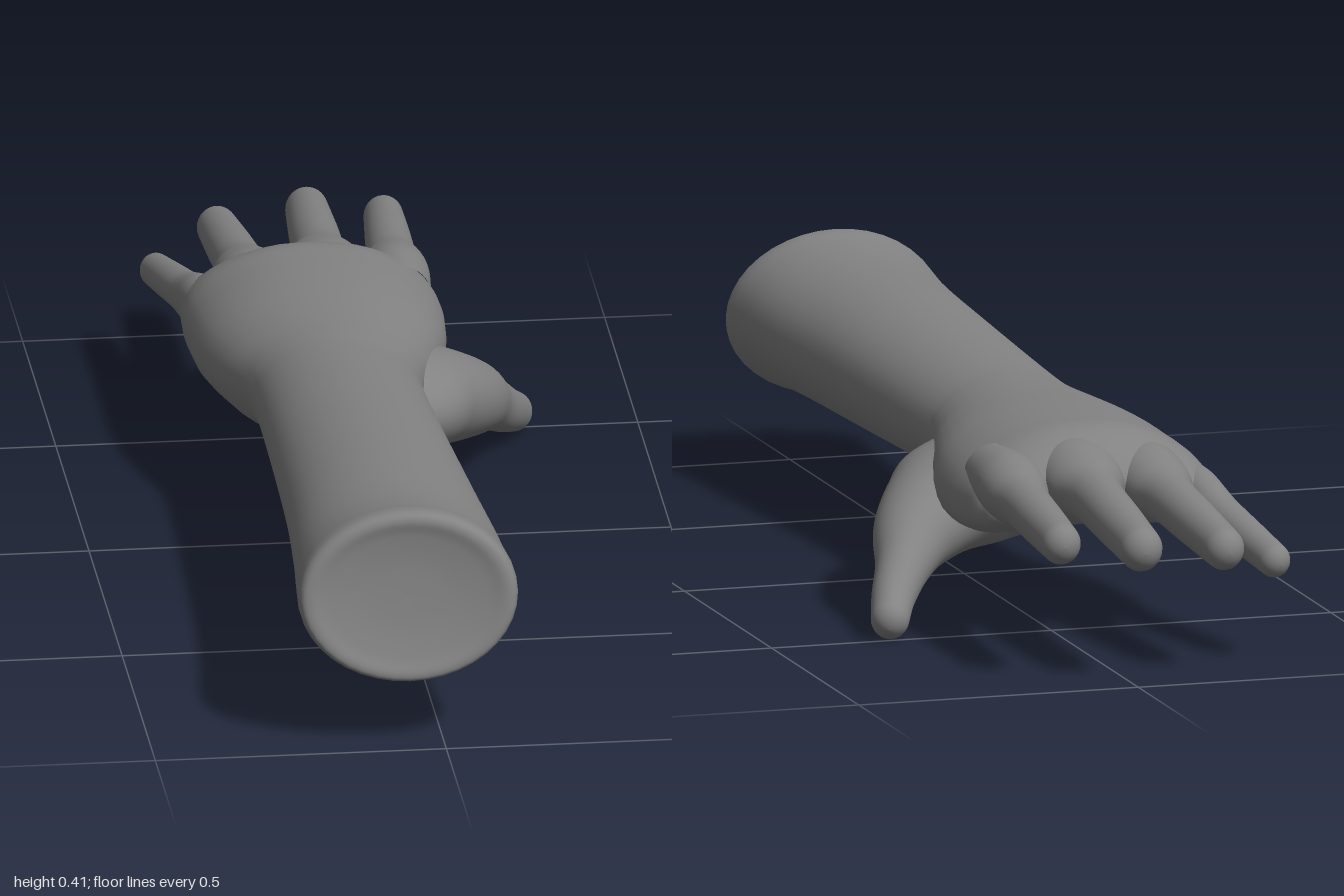
import * as THREE from 'three';

const SIDES = 40, STEPS = 7;
const smooth = THREE.MathUtils.smoothstep;

// Smooth skin through cross-sections [x, y, z, radiusAcross, radiusUp] that follow their path
function skin(sections, { direction, roundTip, outline }) {
  const spline = new THREE.CubicInterpolant(sections.map((_, i) => i), sections.flat(), 5);
  const rings = [];
  for (let i = 0; i <= (sections.length - 1) * STEPS; i++) rings.push([...spline.evaluate(i / STEPS)]);

  const centre = r => new THREE.Vector3(r[0], r[1], r[2]);
  const tangents = rings.map((_, i) => direction ?? centre(rings[Math.min(i + 1, rings.length - 1)])
    .sub(centre(rings[Math.max(i - 1, 0)])).normalize());

  // Hemispherical fingertip
  if (roundTip) {
    const last = rings[rings.length - 1], t = tangents[tangents.length - 1];
    for (let k = 1; k <= 8; k++) {
      const a = k / 8 * Math.PI / 2, f = Math.max(Math.cos(a), 0);
      const c = centre(last).addScaledVector(t, last[3] * Math.sin(a));
      rings.push([c.x, c.y, c.z, last[3] * f, last[4] * f]);
      tangents.push(t);
    }
  }

  const positions = [], index = [], Y = new THREE.Vector3(0, 1, 0);
  rings.forEach((r, i) => {
    const right = new THREE.Vector3().crossVectors(tangents[i], Y).normalize();
    const up = new THREE.Vector3().crossVectors(right, tangents[i]);
    for (let j = 0; j < SIDES; j++) {
      const a = j / SIDES * Math.PI * 2;
      const [u, v, back] = outline(Math.cos(a), Math.sin(a), r);
      const p = centre(r).addScaledVector(right, u).addScaledVector(up, v);
      positions.push(p.x, p.y, p.z - back);
      if (i < rings.length - 1) {
        const k = (j + 1) % SIDES, b = i * SIDES, c = b + SIDES;
        index.push(b + j, c + j, b + k, b + k, c + j, c + k);
      }
    }
  });
  const geometry = new THREE.BufferGeometry();
  geometry.setAttribute('position', new THREE.Float32BufferAttribute(positions, 3));
  geometry.setIndex(index);
  geometry.computeVertexNormals();
  return geometry;
}

// Plain ellipse for the digits
const ellipse = (c, s, [, , , rx, ry]) => [rx * c, ry * s, 0];

// Arm outline: squarer and arched towards the knuckles, cut at a slant at the open end
function armOutline(c, s, [, , z, rx, ry]) {
  const hand = smooth(-z, 0.1, 0.5);
  const power = v => Math.sign(v) * Math.abs(v) ** (2 / (2 + 0.4 * hand));
  const u = rx * power(c);
  const hollow = s < 0 ? 1 - 0.1 * hand * s ** 4 : 1;
  const v = ry * power(s) * hollow - 0.8 * hand * u * u;
  return [u, v, 0.17 * smooth(z, 0.8, 0.95) * v];
}

// Finger: wide root between the webs, then a gentle taper. Each step: [along, across, up]
function finger([x0, y0, x1, y1, z1, rootRadius, tipRadius]) {
  const lerp = THREE.MathUtils.lerp;
  const root = [[-0.5, 1, 1.5], [-0.2, 1.07, 1.72], [0, 1, 1.53]];
  const shaft = [[0.2, 1.28, 1.27], [0.6, 1.15, 1.17], [1, 1, 1.07]];
  const section = across => ([t, w, h]) =>
    [lerp(x0, x1, t), lerp(y0, y1, t), lerp(-0.6, z1, t), w * across, h * tipRadius];
  return [...root.map(section(rootRadius)), ...shaft.map(section(tipRadius))];
}

export function createModel() {
  const group = new THREE.Group();
  const material = new THREE.MeshStandardMaterial({ color: 0x828282 });
  const add = (name, geometry) => {
    const mesh = new THREE.Mesh(geometry, material);
    mesh.name = name;
    group.add(mesh);
  };

  // Shallow dished end, forearm, wrist and palm in one sweep
  const arm = [
    [-0.06, 0.267, 0.955, 0, 0],
    [-0.06, 0.267, 0.957, 0.075, 0.058],
    [-0.06, 0.267, 0.964, 0.135, 0.105],
    [-0.06, 0.267, 0.971, 0.169, 0.131],
    [-0.06, 0.267, 0.964, 0.185, 0.144],
    [-0.06, 0.267, 0.94, 0.189, 0.146],
    [-0.06, 0.267, 0.88, 0.185, 0.137],
    [-0.058, 0.265, 0.75, 0.177, 0.127],
    [-0.06, 0.262, 0.5, 0.162, 0.122],
    [-0.068, 0.253, 0.05, 0.146, 0.107],
    [-0.068, 0.25, -0.08, 0.153, 0.107],
    [-0.068, 0.242, -0.18, 0.183, 0.115],
    [-0.065, 0.248, -0.3, 0.212, 0.111],
    [-0.063, 0.26, -0.42, 0.222, 0.099],
    [-0.065, 0.265, -0.5, 0.22, 0.09],
    [-0.066, 0.262, -0.56, 0.211, 0.066],
    [-0.066, 0.257, -0.6, 0.17, 0.03],
    [-0.066, 0.257, -0.605, 0, 0],
  ];
  add('forearmAndPalm', skin(arm, { direction: new THREE.Vector3(0, 0, -1), outline: armOutline }));

  // Thumb sweeps sideways out of the palm, then turns forward
  const thumb = [
    [-0.06, 0.225, -0.2, 0.19, 0.1],
    [0.05, 0.192, -0.2, 0.165, 0.092],
    [0.12, 0.17, -0.235, 0.105, 0.084],
    [0.183, 0.138, -0.3, 0.073, 0.068],
    [0.225, 0.1, -0.37, 0.048, 0.049],
    [0.26, 0.063, -0.43, 0.038, 0.04],
    [0.284, 0.036, -0.487, 0.033, 0.035],
  ];
  add('thumb', skin(thumb, { roundTip: true, outline: ellipse }));

  // Fingers: root x, y, tip x, y, z, root radius, tip radius
  const fingers = {
    indexFinger: [0.092, 0.262, 0.109, 0.24, -0.905, 0.055, 0.034],
    middleFinger: [-0.03, 0.271, -0.016, 0.235, -0.963, 0.069, 0.037],
    ringFinger: [-0.16, 0.26, -0.173, 0.22, -0.935, 0.061, 0.035],
    littleFinger: [-0.251, 0.225, -0.287, 0.177, -0.857, 0.038, 0.028],
  };
  for (const [name, spec] of Object.entries(fingers)) {
    add(name, skin(finger(spec), { roundTip: true, outline: ellipse }));
  }
  return group;
}
